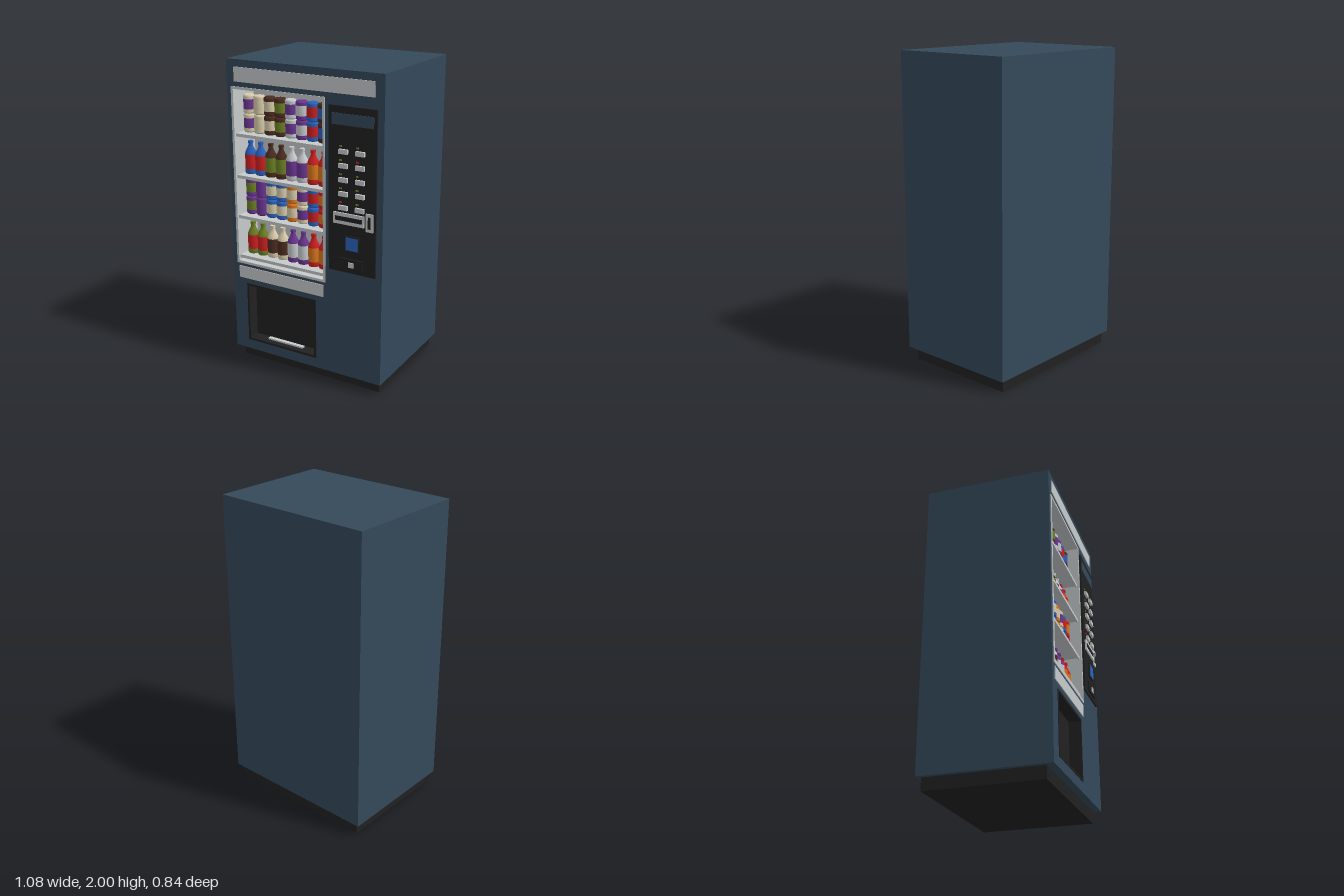
import * as THREE from 'three';
import { toCreasedNormals } from 'three/addons/utils/BufferGeometryUtils.js';

const mat = (name, color) => {
  const m = new THREE.MeshStandardMaterial({ color });
  m.name = name;
  return m;
};

export function createModel() {
  const navy = mat('navy', 0x34495a), black = mat('black', 0x212121), grey = mat('light grey', 0xc6cacb);
  const red = mat('red', 0xcc1f20), orange = mat('orange', 0xd9751c), blue = mat('blue', 0x2a62bd);
  const purple = mat('purple', 0x6b3593), green = mat('green', 0x6b8023);
  const cream = mat('cream', 0xd8ccab), brown = mat('brown', 0x4b2c20);
  const root = new THREE.Group();
  root.name = 'vendingMachine';
  const FRONT = 0.395;

  // Box given by its extents
  const box = (name, m, x0, x1, y0, y1, z0, z1, parent = root) => {
    const mesh = new THREE.Mesh(new THREE.BoxGeometry(x1 - x0, y1 - y0, z1 - z0), m);
    mesh.position.set((x0 + x1) / 2, (y0 + y1) / 2, (z0 + z1) / 2);
    mesh.name = name;
    parent.add(mesh);
    return mesh;
  };
  const group = (name) => {
    const g = new THREE.Group();
    g.name = name;
    root.add(g);
    return g;
  };
  const rect = (P, x0, x1, y0, y1) => {
    const p = new P();
    p.moveTo(x0, y0).lineTo(x1, y0).lineTo(x1, y1).lineTo(x0, y1).closePath();
    return p;
  };

  // Cabinet: solid rear, front shell with window and tray openings
  const win = [-0.51, 0.155, 0.685, 1.835], tray = [-0.44, 0.083, 0.146, 0.55];
  const DEPTH = 0.22;
  box('base', black, -0.51, 0.51, 0, 0.08, -0.395, 0.345);
  box('cabinetRear', navy, -0.54, 0.54, 0.08, 2, -0.42, FRONT - DEPTH);
  const face = rect(THREE.Shape, -0.54, 0.54, 0.08, 2);
  face.holes.push(rect(THREE.Path, ...win), rect(THREE.Path, ...tray));
  const shell = new THREE.Mesh(new THREE.ExtrudeGeometry(face, { depth: DEPTH, bevelEnabled: false }), navy);
  shell.position.z = FRONT - DEPTH;
  shell.name = 'cabinetFront';
  root.add(shell);

  // Lining of an opening: four walls and a back
  const lining = (name, m, [x0, x1, y0, y1], t, depth, lip) => {
    const g = group(name), zb = FRONT - depth, zf = FRONT + lip;
    box('leftWall', m, x0, x0 + t, y0, y1, zb, zf, g);
    box('rightWall', m, x1 - t, x1, y0, y1, zb, zf, g);
    box('floor', m, x0 + t, x1 - t, y0, y0 + t, zb, zf, g);
    box('ceiling', m, x0 + t, x1 - t, y1 - t, y1, zb, zf, g);
    box('back', m, x0 + t, x1 - t, y0 + t, y1 - t, zb, zb + 0.01, g);
  };
  lining('displayCase', grey, win, 0.016, DEPTH - 0.002, 0.005);
  lining('deliveryTray', black, tray, 0.015, 0.085, 0.003);
  box('trayHandle', grey, -0.31, -0.045, 0.152, 0.172, 0.335, 0.36);

  // Light signs
  box('topSign', grey, -0.485, 0.48, 1.865, 1.955, FRONT, FRONT + 0.005);
  box('lowerSign', grey, -0.495, 0.14, 0.585, 0.665, FRONT, FRONT + 0.005);

  // Turned pieces of cans and bottles
  const turned = (pts) => toCreasedNormals(
    new THREE.LatheGeometry(pts.map(([r, y]) => new THREE.Vector2(r, y)), 12), 0.6);
  const R = 0.037;
  const canParts = [
    turned([[0, 0], [0.031, 0], [R, 0.007], [R, 0.028]]),
    turned([[R, 0.028], [R, 0.09]]),
    turned([[R, 0.09], [R, 0.109], [0.031, 0.117], [0, 0.117]]),
  ];
  const bottleParts = [
    turned([[0, 0], [0.034, 0], [R, 0.005], [R, 0.032]]),
    turned([[R, 0.032], [R, 0.125]]),
    turned([[R, 0.125], [0.033, 0.143], [0.019, 0.168], [0.014, 0.185], [0.014, 0.195],
      [0.017, 0.195], [0.017, 0.21], [0, 0.21]]),
  ];
  const product = (name, parts, [body, label], x, y, parent) => {
    const g = new THREE.Group();
    g.name = name;
    parts.forEach((geo, i) => {
      const mesh = new THREE.Mesh(geo, i === 1 ? label : body);
      mesh.name = ['bottom', 'label', 'top'][i];
      g.add(mesh);
    });
    g.position.set(x, y, 0.3);
    parent.add(g);
  };

  // Shelves with a body and label colour for each column
  const rows = [
    { y: 1.54, cans: true, colours: [[cream, purple], [cream, cream], [brown, cream], [brown, green],
      [grey, purple], [purple, grey], [blue, red], [brown, blue]] },
    { y: 1.272, colours: [[blue, red], [blue, red], [brown, green], [brown, green],
      [grey, purple], [grey, purple], [red, orange], [red, orange]] },
    { y: 1.006, cans: true, colours: [[purple, green], [purple, purple], [blue, cream], [blue, cream],
      [orange, cream], [cream, purple], [blue, red], [red, orange]] },
    { y: 0.736, colours: [[green, red], [green, red], [cream, brown], [cream, brown],
      [purple, grey], [purple, grey], [red, orange], [red, orange]] },
  ];
  rows.forEach(({ y, cans, colours }) => {
    const g = group(cans ? 'canShelf' : 'bottleShelf');
    box('shelf', grey, -0.494, 0.139, y - 0.012, y, 0.18, 0.375, g);
    box('shelfEdge', grey, -0.494, 0.139, y - 0.02, y, 0.375, 0.385, g);
    colours.forEach((c, i) => {
      const x = -0.447 + i * 0.0768;
      if (cans) {
        product('can', canParts, c, x, y, g);
        product('can', canParts, c, x, y + 0.118, g);
      } else product('bottle', bottleParts, c, x, y, g);
    });
  });

  // Control panel
  const panel = group('controlPanel'), PZ = 0.405;
  const part = (name, m, x0, x1, y0, y1, z1, z0 = PZ) => box(name, m, x0, x1, y0, y1, z0, z1, panel);
  part('panelPlate', black, 0.183, 0.5, 0.787, 1.797, PZ, FRONT);
  part('display', navy, 0.205, 0.48, 1.688, 1.755, PZ + 0.004);
  for (let r = 0; r < 5; r++) {
    for (let c = 0; c < 2; c++) {
      const x = 0.257 + c * 0.111, y = 1.534 - r * 0.0848;
      const soldOut = (c === 1 && r === 1) || (c === 0 && r === 4);
      part('button', grey, x, x + 0.058, y - 0.014, y + 0.014, 0.42);
      part('buttonLight', soldOut ? red : green, x, x + 0.016, y + 0.026, y + 0.036, PZ + 0.004);
    }
  }
  part('billSlotPlate', grey, 0.22, 0.426, 1.093, 1.163, 0.415);
  part('billSlot', black, 0.233, 0.413, 1.115, 1.142, 0.417, 0.41);
  part('coinSlotPlate', grey, 0.437, 0.485, 1.073, 1.184, 0.413);
  part('coinSlot', black, 0.452, 0.47, 1.092, 1.165, 0.415, 0.41);
  part('screenBezel', black, 0.296, 0.392, 0.927, 1.023, 0.413);
  part('screen', blue, 0.304, 0.384, 0.935, 1.015, 0.416, 0.41);
  part('coinReturn', black, 0.262, 0.42, 0.813, 0.88, 0.414);
  part('coinReturnButton', grey, 0.326, 0.358, 0.828, 0.86, 0.42, 0.41);

  return root;
}
